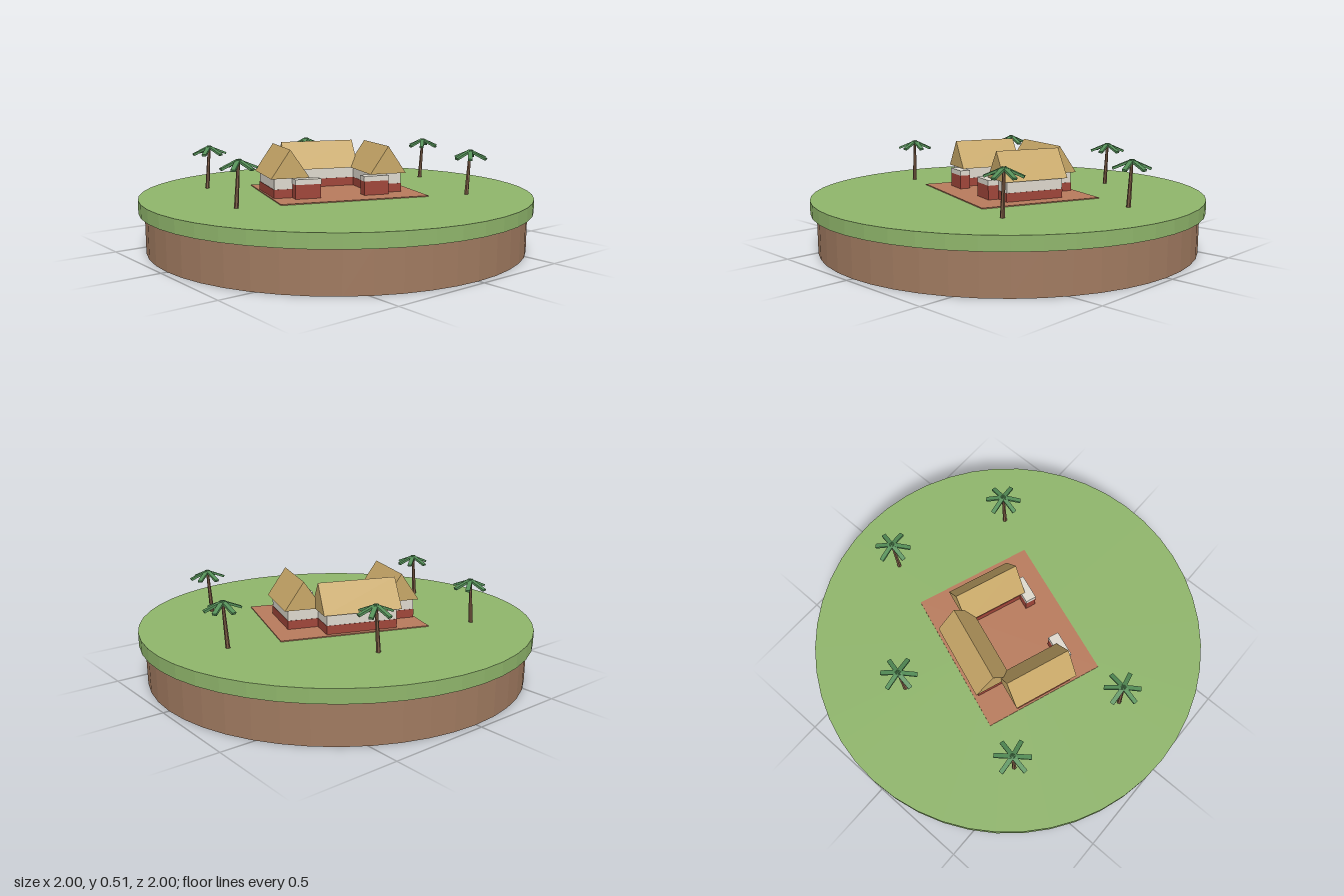
import * as THREE from 'three';

const material = (name, color, extra = {}) => {
  const m = new THREE.MeshStandardMaterial({ color, flatShading: true, ...extra });
  m.name = name;
  return m;
};

export function createModel() {
  const model = new THREE.Group();
  model.name = 'islandVillage';

  const grass = material('grass green', 0x8fb56b);
  const soil = material('soil brown', 0xa07a60);
  const clay = material('courtyard clay', 0xb87b5d);
  const brick = material('brick red', 0xa0463a);
  const plaster = material('plaster white', 0xded9ce);
  const thatch = material('thatch straw', 0xc8a868);
  const bark = material('bark brown', 0x7a5a43);
  const leaf = material('palm green', 0x558f58);

  const add = (parent, name, geometry, mat, x = 0, y = 0, z = 0) => {
    const mesh = new THREE.Mesh(geometry, mat);
    mesh.name = name;
    mesh.position.set(x, y, z);
    parent.add(mesh);
    return mesh;
  };
  // Box standing between two heights
  const block = (parent, name, mat, w, d, y0, y1, x, z) =>
    add(parent, name, new THREE.BoxGeometry(w, y1 - y0, d), mat, x, (y0 + y1) / 2, z);

  // Round island
  const GROUND = 0.267;
  add(model, 'soilBase', new THREE.CylinderGeometry(0.97, 0.97, 0.2, 48), soil, 0, 0.1, 0);
  add(model, 'grassTop', new THREE.CylinderGeometry(1, 1, GROUND - 0.2, 48), grass, 0, (GROUND + 0.2) / 2, 0);

  // Compound, turned on the island
  const compound = new THREE.Group();
  compound.name = 'compound';
  compound.rotation.y = -0.347;
  model.add(compound);
  block(compound, 'courtyard', clay, 0.76, 0.63, GROUND - 0.005, 0.272, 0, 0);

  // House: brick base, plaster walls and a closed gable roof along its local z
  const EAVE = 0.37, RIDGE = 0.51;
  const house = (name, width, length, x, z, turn) => {
    const g = new THREE.Group();
    g.name = name;
    g.position.set(x, 0, z);
    g.rotation.y = turn;
    compound.add(g);
    const w = width - 0.04, l = length - 0.04;
    block(g, 'brickBase', brick, w + 0.004, l + 0.004, 0.27, 0.315, 0, 0);
    block(g, 'plasterWalls', plaster, w, l, 0.315, EAVE + 0.003, 0, 0);
    const gable = new THREE.Shape([
      new THREE.Vector2(-width / 2, EAVE),
      new THREE.Vector2(width / 2, EAVE),
      new THREE.Vector2(0, RIDGE),
    ]);
    const roof = new THREE.ExtrudeGeometry(gable, { depth: length, bevelEnabled: false });
    add(g, 'thatchRoof', roof, thatch, 0, 0, -length / 2);
  };
  const MID = -0.035;
  house('backHouse', 0.195, 0.4, MID, -0.213, Math.PI / 2);
  for (const side of [-1, 1]) {
    const label = side > 0 ? 'left' : 'right';
    house(label + 'Wing', 0.194, 0.34, MID + side * 0.257, 0, 0);
    // Low porch wall with a plaster cap at the inner front corner
    const px = MID + side * 0.178;
    block(compound, label + 'PorchWall', brick, 0.13, 0.055, 0.27, 0.342, px, 0.179);
    block(compound, label + 'PorchCap', plaster, 0.132, 0.056, 0.342, 0.368, px, 0.179);
  }

  // Palms: leaning trunk and six drooping fronds
  const frondAngles = [34, 93, 173, 222, 283, 346];
  const up = new THREE.Vector3(0, 1, 0);
  const palm = (x, z) => {
    const g = new THREE.Group();
    g.name = 'palm';
    g.position.set(x, 0, z);
    model.add(g);
    const foot = new THREE.Vector3(-0.015, GROUND - 0.005, -0.004);
    const top = new THREE.Vector3(0, 0.485, 0);
    const axis = top.clone().sub(foot);
    const trunk = add(g, 'trunk', new THREE.CylinderGeometry(0.007, 0.011, axis.length(), 6), bark);
    trunk.position.copy(foot).add(top).multiplyScalar(0.5);
    trunk.quaternion.setFromUnitVectors(up, axis.normalize());
    for (const deg of frondAngles) {
      const pivot = new THREE.Group();
      pivot.name = 'frondPivot';
      pivot.position.y = 0.488;
      pivot.rotation.set(0, THREE.MathUtils.degToRad(deg), -0.4, 'YXZ');
      g.add(pivot);
      add(pivot, 'frond', new THREE.BoxGeometry(0.096, 0.011, 0.022), leaf, 0.048, 0, 0);
    }
  };
  const palmSpots = [[-0.46, -0.5], [0.22, -0.555], [0.715, -0.08], [-0.645, 0.095], [0.465, 0.5]];
  palmSpots.forEach(([x, z]) => palm(x, z));

  return model;
}
